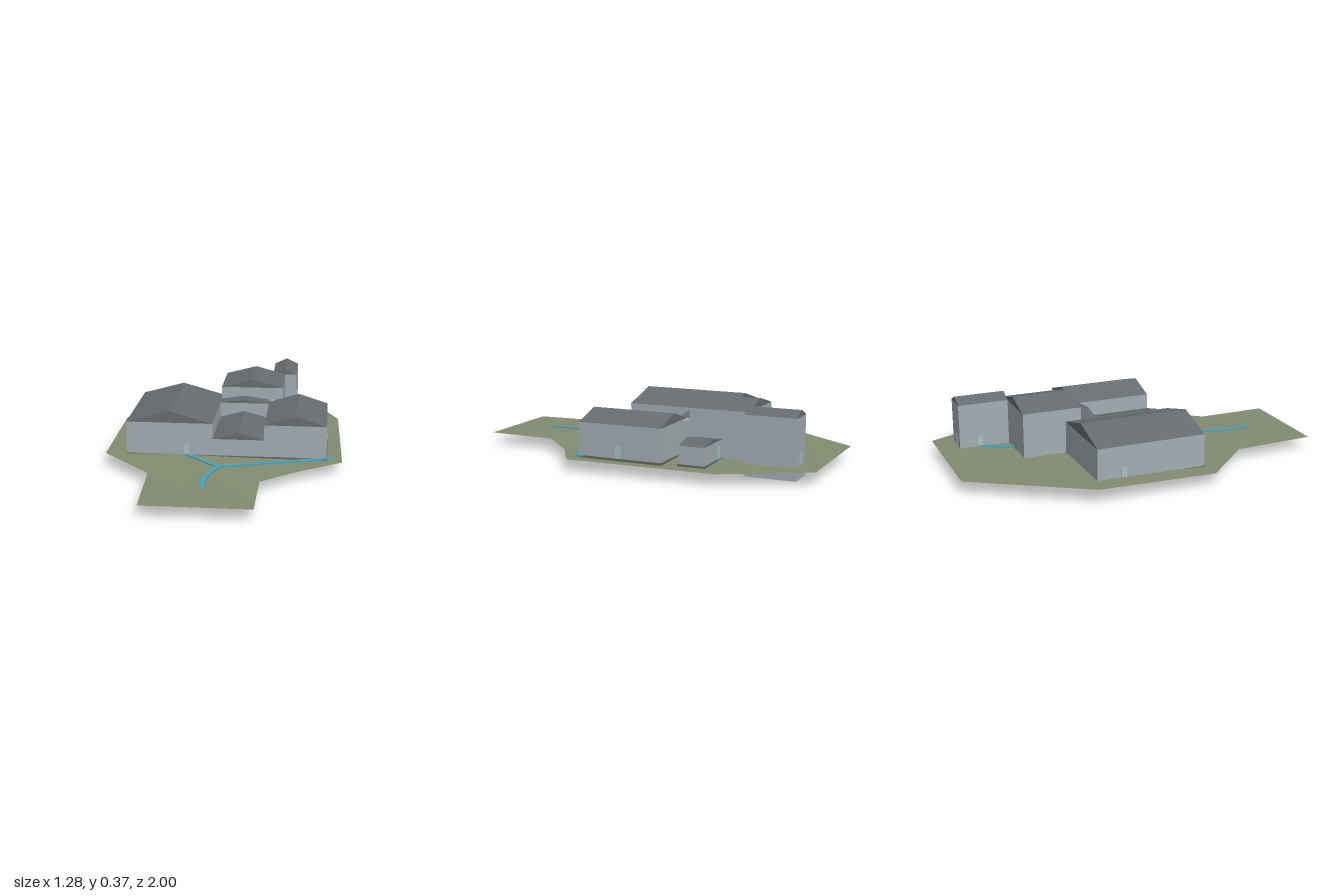
import * as THREE from 'three';

const mat = (name, color, side = THREE.FrontSide) => {
  const m = new THREE.MeshStandardMaterial({ color, side });
  m.name = name;
  return m;
};

export function createModel() {
  const model = new THREE.Group();
  const wall = mat('wall grey', 0xa3adb3);
  const roof = mat('roof slate', 0x666c70);
  const grass = mat('grass green', 0x828c70, THREE.DoubleSide);
  const stone = mat('foundation stone', 0x66665e);
  const water = mat('path blue', 0x4f9fb5);
  const door = mat('door pale', 0xa9bfc2);

  const add = (name, geometry, material, parent = model) => {
    const mesh = new THREE.Mesh(geometry, material);
    mesh.name = name;
    parent.add(mesh);
    return mesh;
  };
  const box = (name, x0, x1, y0, y1, z0, z1, material, parent) => {
    const g = new THREE.BoxGeometry(x1 - x0, y1 - y0, z1 - z0);
    g.translate((x0 + x1) / 2, (y0 + y1) / 2, (z0 + z1) / 2);
    return add(name, g, material, parent);
  };

  // Walls with a solid gable roof, ridge running front to back
  const house = (name, x0, x1, z0, z1, base, eave, ridge) => {
    const group = new THREE.Group();
    group.name = name;
    box(name + 'Walls', x0, x1, base, eave, z0, z1, wall, group);
    const gable = new THREE.Shape([
      new THREE.Vector2(x0, eave),
      new THREE.Vector2(x1, eave),
      new THREE.Vector2((x0 + x1) / 2, ridge),
    ]);
    const g = new THREE.ExtrudeGeometry(gable, { depth: z1 - z0, bevelEnabled: false });
    g.translate(0, 0, z0);
    add(name + 'Roof', g, roof, group);
    model.add(group);
  };
  house('westHall', -0.53, -0.06, -0.365, 0.24, 0.055, 0.25, 0.315);
  house('eastHall', 0.22, 0.555, -0.23, 0.24, 0.055, 0.25, 0.302);
  house('entranceHall', -0.06, 0.22, -0.185, 0.24, 0.055, 0.165, 0.203);
  house('connectingHall', -0.06, 0.22, -0.275, -0.185, 0.055, 0.25, 0.27);
  house('rearBlock', -0.06, 0.295, -0.605, -0.275, 0, 0.32, 0.367);
  house('rearTower', 0.22, 0.363, -0.885, -0.605, 0, 0.32, 0.353);
  house('sideAnnex', 0.295, 0.535, -0.46, -0.32, 0.058, 0.168, 0.19);
  box('linkBlock', 0.22, 0.295, 0.055, 0.25, -0.275, -0.23, wall);

  // Low plinth around the halls
  const e = 0.005;
  box('westPlinth', -0.53 - e, -0.06, 0.057, 0.073, -0.365 - e, 0.24 + e, stone);
  box('middlePlinth', -0.06, 0.22, 0.057, 0.073, -0.275, 0.24 + e, stone);
  box('eastPlinth', 0.22, 0.555 + e, 0.057, 0.073, -0.23 - e, 0.24 + e, stone);
  box('annexPlinth', 0.295, 0.535 + e, 0.06, 0.073, -0.46 - e, -0.32 + e, stone);

  // Thin ground sheet: x, z and height at each corner
  const outline = [
    [-0.25, -1, 0.072], [0.41, -1, 0.07], [0.62, -0.55, 0.062], [0.64, 0.27, 0.064],
    [0.4, 0.42, 0.055], [0.22, 0.61, 0.064], [0.22, 1, 0.066], [-0.34, 1, 0.066],
    [-0.365, 0.54, 0.066], [-0.645, 0.25, 0.07], [-0.645, -0.4, 0.082],
  ];
  const ground = new THREE.ShapeGeometry(
    new THREE.Shape(outline.map(([x, z]) => new THREE.Vector2(x, -z))));
  ground.rotateX(-Math.PI / 2);
  const p = ground.attributes.position;
  for (let i = 0; i < p.count; i++) {
    const corner = outline.find(([x, z]) =>
      Math.abs(x - p.getX(i)) < 1e-4 && Math.abs(z - p.getZ(i)) < 1e-4);
    if (corner) p.setY(i, corner[2]);
  }
  ground.computeVertexNormals();
  add('ground', ground, grass);

  // Paths made of flat strips
  const path = (name, points) => {
    const group = new THREE.Group();
    group.name = name;
    for (let i = 0; i < points.length - 1; i++) {
      const [x0, z0] = points[i];
      const [x1, z1] = points[i + 1];
      const length = Math.hypot(x1 - x0, z1 - z0);
      const g = new THREE.BoxGeometry(0.026, 0.007, length + 0.008);
      g.rotateY(Math.atan2(x1 - x0, z1 - z0));
      g.translate((x0 + x1) / 2, 0.0735, (z0 + z1) / 2);
      add('pathStrip', g, water, group);
    }
    model.add(group);
  };
  path('mainPath', [[-0.06, 0.755], [-0.06, 0.6], [-0.012, 0.42], [-0.2, 0.24]]);
  path('eastPath', [[-0.012, 0.42], [0.568, 0.24], [0.568, 0.215]]);
  path('rearPath', [[0.13, -0.595], [0.225, -0.77]]);
  path('annexPath', [[0.335, -0.462], [0.36, -0.462]]);

  // Doors: centre of the foot and whether the door faces along x
  const doors = [
    ['westFrontDoor', -0.201, 0.24, false], ['eastSideDoor', 0.555, 0.015, true],
    ['westSideDoor', -0.53, -0.22, true], ['towerSideDoor', 0.22, -0.77, true],
    ['towerRearDoor', 0.293, -0.885, false], ['annexDoor', 0.347, -0.46, false],
  ];
  for (const [name, x, z, alongX] of doors) {
    const [dx, dz] = alongX ? [0.003, 0.016] : [0.016, 0.003];
    box(name, x - dx, x + dx, 0.073, 0.136, z - dz, z + dz, door);
  }
  return model;
}
